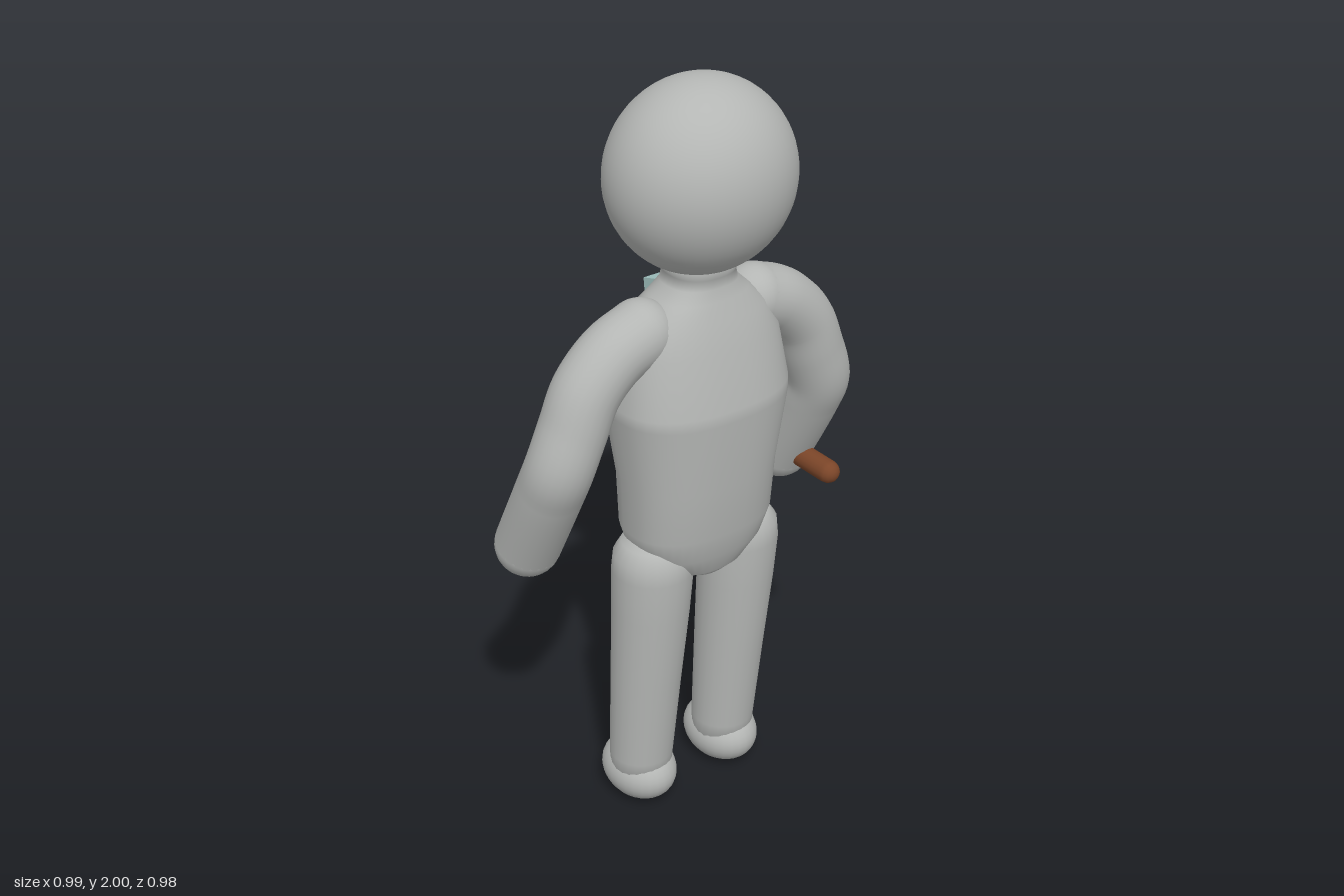
import * as THREE from 'three';
import { RoundedBoxGeometry } from 'three/addons/geometries/RoundedBoxGeometry.js';

const mat = (name, color, flatShading = false) => {
  const m = new THREE.MeshStandardMaterial({ color, flatShading });
  m.name = name;
  return m;
};

// Closed skin over horizontal rounded cross-sections, rows bottom to top: [y, cx, cz, rx, rz]
function loft(rows, power = 2, n = 32) {
  const pos = [], idx = [];
  const bend = (v) => Math.sign(v) * Math.abs(v) ** (2 / power);
  for (const [y, cx, cz, rx, rz] of rows) {
    for (let i = 0; i < n; i++) {
      const a = (i / n) * Math.PI * 2;
      pos.push(cx + rx * bend(Math.cos(a)), y, cz + rz * bend(Math.sin(a)));
    }
  }
  for (let r = 0; r < rows.length - 1; r++) {
    for (let i = 0; i < n; i++) {
      const a = r * n + i, b = r * n + ((i + 1) % n);
      idx.push(a, a + n, b, b, a + n, b + n);
    }
  }
  const top = (rows.length - 1) * n;
  for (let i = 1; i < n - 1; i++) {
    idx.push(0, i, i + 1, top, top + i + 1, top + i);
  }
  const g = new THREE.BufferGeometry();
  g.setAttribute('position', new THREE.Float32BufferAttribute(pos, 3));
  g.setIndex(idx);
  g.computeVertexNormals();
  return g;
}

export function createModel() {
  const model = new THREE.Group();
  const grey = mat('body grey', 0xb4b6b4);
  const brown = mat('wood brown', 0x7c4629);
  const ice = mat('pale teal', 0xa2c4c2, true);
  const iceSmooth = ice;

  const add = (parent, name, geo, material, x = 0, y = 0, z = 0) => {
    const m = new THREE.Mesh(geo, material);
    m.name = name;
    m.position.set(x, y, z);
    parent.add(m);
    return m;
  };

  // Figure
  const body = new THREE.Group();
  body.name = 'body';
  body.position.x = -0.007;
  model.add(body);

  const head = add(body, 'head', new THREE.SphereGeometry(1, 48, 32), grey, 0, 1.765, 0.277);
  head.scale.set(0.236, 0.236, 0.214);

  add(body, 'torso', loft([
    [0.715, 0, 0.275, 0.07, 0.09],
    [0.735, 0, 0.275, 0.125, 0.108],
    [0.79, 0, 0.277, 0.18, 0.126],
    [0.86, 0, 0.28, 0.203, 0.14],
    [1.0, 0, 0.28, 0.207, 0.153],
    [1.19, 0, 0.278, 0.238, 0.168],
    [1.22, 0, 0.278, 0.238, 0.166],
    [1.36, 0, 0.273, 0.215, 0.138],
    [1.43, 0, 0.272, 0.18, 0.115],
    [1.475, 0, 0.275, 0.125, 0.095],
    [1.505, 0, 0.277, 0.093, 0.082],
    [1.53, 0, 0.277, 0.085, 0.08],
    [1.58, 0, 0.277, 0.11, 0.1],
  ], 2.4, 40), grey);

  for (const s of [1, -1]) {
    const side = s > 0 ? 'left' : 'right';

    // Arm: bent tube with rounded ends
    const arm = new THREE.Group();
    arm.name = side + 'Arm';
    body.add(arm);
    const pts = [[0.17, 1.405, 0.275], [0.25, 1.372, 0.275], [0.325, 1.3, 0.275], [0.365, 1.21, 0.275],
      [0.4, 1.115, 0.268], [0.405, 1.04, 0.235], [0.405, 0.835, 0.13]]
      .map(([x, y, z]) => new THREE.Vector3(s * x, y, z));
    const curve = new THREE.CatmullRomCurve3(pts, false, 'centripetal');
    add(arm, side + 'ArmTube', new THREE.TubeGeometry(curve, 40, 0.084, 24), grey);
    for (const [name, p] of [['Shoulder', pts[0]], ['Hand', pts[6]]]) {
      add(arm, side + name, new THREE.SphereGeometry(0.084, 24, 16), grey, p.x, p.y, p.z);
    }

    // Leg and foot
    add(body, side + 'Leg', loft([
      [0.06, 0.132, 0.247, 0.078, 0.078],
      [0.15, 0.133, 0.248, 0.085, 0.083],
      [0.4, 0.135, 0.264, 0.093, 0.092],
      [0.62, 0.14, 0.276, 0.101, 0.1],
      [0.74, 0.142, 0.28, 0.105, 0.104],
      [0.785, 0.142, 0.28, 0.1, 0.1],
      [0.82, 0.14, 0.28, 0.077, 0.08],
      [0.84, 0.135, 0.28, 0.03, 0.035],
    ], 2, 24).scale(1, 1, 1), grey).position.x = s > 0 ? 0 : -0.275;
    const foot = add(body, side + 'Foot', new THREE.SphereGeometry(1, 28, 18), grey, s * 0.14, 0.083, 0.236);
    foot.position.x = s > 0 ? 0.137 : -0.14;
    foot.scale.set(0.092, 0.083, 0.114);
  }

  // Hammer
  const hammer = new THREE.Group();
  hammer.name = 'hammer';
  hammer.position.set(0.4, 0.845, 0);
  model.add(hammer);

  add(hammer, 'handle', new THREE.CapsuleGeometry(0.031, 0.62, 4, 16).rotateX(Math.PI / 2), brown, 0, 0, 0.013);
  add(hammer, 'hammerBlock', new RoundedBoxGeometry(0.19, 0.345, 0.185, 2, 0.032), brown, 0, 0, -0.345);

  // Tilted slab set into the block, outline drawn as (z, y)
  const outline = new THREE.Shape([[0.235, 0.325], [0.485, 0.25], [0.437, -0.135], [0.19, -0.06]]
    .map(([z, y]) => new THREE.Vector2(z, y)));
  const slab = new THREE.ExtrudeGeometry(outline, { depth: 0.066, bevelEnabled: false });
  add(hammer, 'iceSlab', slab.rotateY(Math.PI / 2), ice);

  // Four-sided spikes leaning forward, above and below the block
  for (const s of [1, -1]) {
    const spike = new THREE.ConeGeometry(0.055 * Math.SQRT2, 0.27, 4, 1).rotateY(Math.PI / 4);
    const p = spike.attributes.position;
    for (let i = 0; i < p.count; i++) {
      const drop = 0.135 - p.getY(i);
      p.setXYZ(i, p.getX(i), p.getY(i) + 0.295, p.getZ(i) - 0.27 - drop * 0.42);
    }
    if (s < 0) spike.rotateZ(Math.PI);
    spike.computeVertexNormals();
    add(hammer, s > 0 ? 'upperSpike' : 'lowerSpike', spike, ice);
  }

  // Rounded peg through the block
  add(hammer, 'peg', new THREE.CapsuleGeometry(0.036, 0.35, 6, 14), iceSmooth, -0.008, -0.03, -0.402);

  return model;
}
